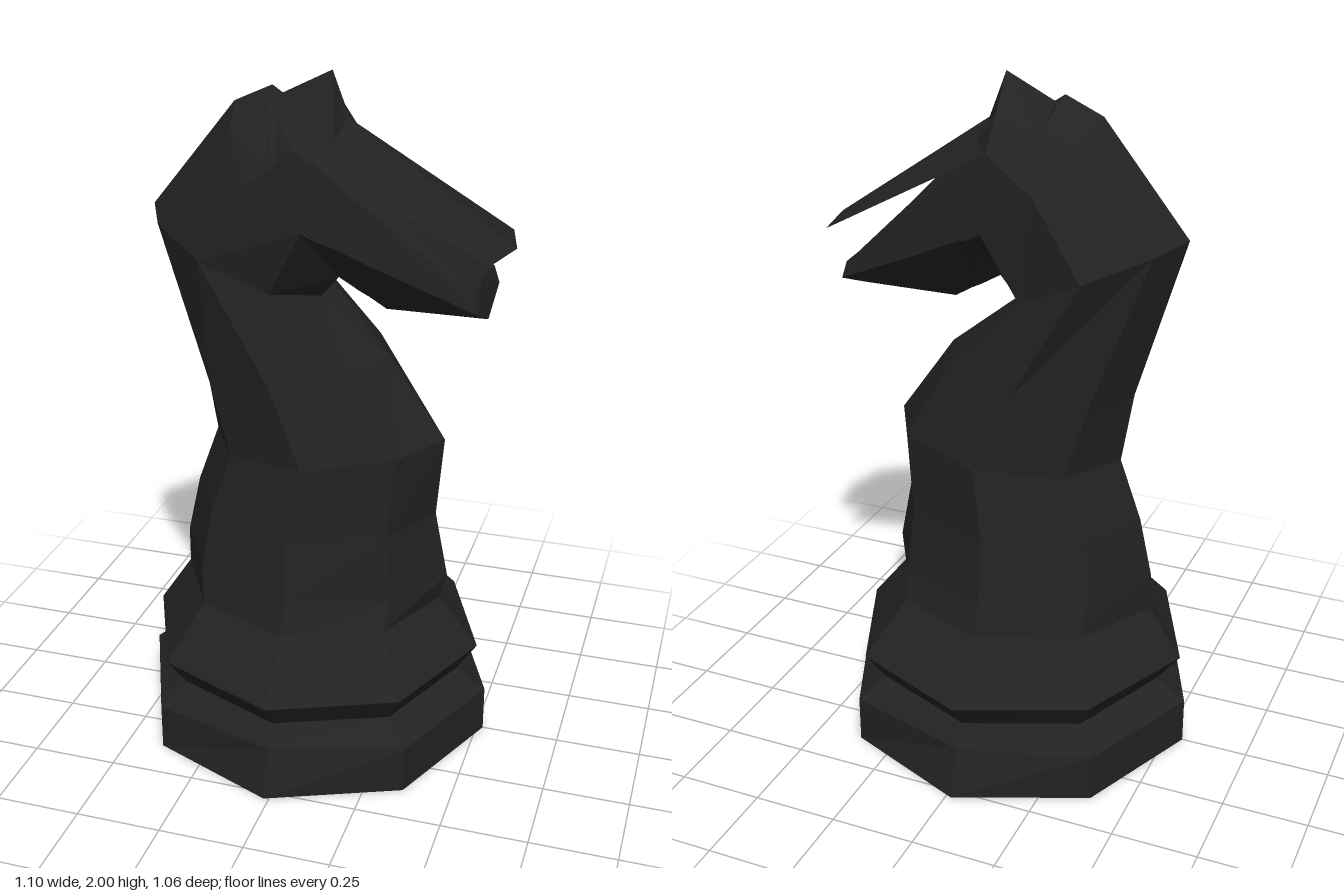
import * as THREE from 'three';

const material = new THREE.MeshStandardMaterial({ color: 0x222222, flatShading: true });
const sheetMaterial = new THREE.MeshStandardMaterial({ color: 0x222222, flatShading: true, side: THREE.DoubleSide });

// Half section (back, back bevel, side, front bevel, front) mirrored in z to an 8-sided ring
const mirrorRing = (half) => [
  ...half,
  ...[3, 2, 1].map((i) => [half[i][0], half[i][1], -half[i][2]]),
];

// Level-ish ring: back x/y, front x/y, middle x, half width, bevel x back/front, bevel z
function levelRing([xb, yb, xf, yf, xm, zw, xbd, xfd, zd]) {
  return mirrorRing([
    [xb, yb, 0], [xbd, yb, zd], [xm, (yb + yf) / 2, zw], [xfd, yf, zd], [xf, yf, 0],
  ]);
}

function facetedMesh(name, points, index, mat = material) {
  const indexed = new THREE.BufferGeometry();
  indexed.setAttribute('position', new THREE.Float32BufferAttribute(points.flat(), 3));
  indexed.setIndex(index);
  const geometry = indexed.toNonIndexed();
  geometry.computeVertexNormals();
  const mesh = new THREE.Mesh(geometry, mat);
  mesh.name = name;
  return mesh;
}

// Skin a stack of rings, with optional caps at either end
function loft(name, rings, capStart, capEnd) {
  const n = 8, index = [];
  for (let r = 0; r < rings.length - 1; r++) {
    for (let i = 0; i < n; i++) {
      const a = r * n + i, b = r * n + (i + 1) % n;
      index.push(a, b, b + n, a, b + n, a + n);
    }
  }
  const last = (rings.length - 1) * n;
  for (let i = 1; i < n - 1; i++) {
    if (capStart) index.push(0, i + 1, i);
    if (capEnd) index.push(last, last + i, last + i + 1);
  }
  return facetedMesh(name, rings.flat(), index);
}

export function createModel() {
  const group = new THREE.Group();
  group.name = 'chessKnight';

  // Octagonal foot with a flared collar
  const base = [
    [-0.55, 0, 0.52, 0, -0.015, 0.53, -0.39, 0.36, 0.375],
    [-0.55, 0.14, 0.52, 0.14, -0.015, 0.485, -0.39, 0.36, 0.375],
    [-0.46, 0.2, 0.43, 0.2, -0.015, 0.44, -0.33, 0.3, 0.31],
    [-0.53, 0.29, 0.49, 0.29, -0.015, 0.51, -0.37, 0.34, 0.36],
    [-0.43, 0.44, 0.37, 0.44, -0.015, 0.355, -0.295, 0.26, 0.24],
  ].map(levelRing);

  // Neck, leaning back towards the top
  const neck = [
    [-0.43, 0.55, 0.39, 0.52, -0.015, 0.325, -0.31, 0.27, 0.205],
    [-0.39, 0.73, 0.35, 0.72, -0.015, 0.295, -0.28, 0.25, 0.19],
    [-0.325, 0.91, 0.37, 0.96, 0.02, 0.275, -0.22, 0.27, 0.18],
    [-0.36, 1.12, 0.2, 1.2, -0.08, 0.245, -0.28, 0.13, 0.17],
  ].map(levelRing);

  // Tilted ring shared by neck and head
  const nape = mirrorRing([
    [-0.5, 1.59, 0], [-0.44, 1.57, 0.125], [-0.28, 1.51, 0.24], [-0.09, 1.42, 0.2], [0, 1.36, 0],
  ]);
  group.add(loft('base', base, true, false));
  group.add(loft('neck', [base[4], ...neck, nape], false, false));

  // Head, from nape over the crest to the blunt muzzle
  const head = [
    [[-0.25, 1.9, 0], [-0.22, 1.85, 0.12], [-0.14, 1.73, 0.235], [0.01, 1.61, 0.23], [0.05, 1.42, 0]],
    [[-0.14, 1.95, 0], [-0.12, 1.88, 0.115], [-0.08, 1.775, 0.233], [0.05, 1.59, 0.225], [0.11, 1.385, 0]],
    [[-0.11, 1.93, 0], [-0.09, 1.88, 0.115], [-0.06, 1.79, 0.232], [0.08, 1.58, 0.22], [0.14, 1.37, 0]],
    [[0.03, 2, 0], [0.01, 1.915, 0.115], [-0.01, 1.83, 0.23], [0.15, 1.55, 0.21], [0.19, 1.34, 0]],
    [[0.08, 1.85, 0], [0.07, 1.83, 0.11], [0.04, 1.8, 0.22], [0.2, 1.525, 0.2], [0.25, 1.34, 0]],
    [[0.46, 1.465, 0], [0.46, 1.46, 0.08], [0.465, 1.45, 0.14], [0.48, 1.4, 0.145], [0.48, 1.34, 0]],
  ].map(mirrorRing);
  group.add(loft('head', [nape, ...head], false, true));

  // Ridged face plate jutting out over the muzzle
  const plate = [
    [0.08, 1.87, 0], [-0.01, 1.83, 0.23], [0.51, 1.55, 0.17],
    [0.55, 1.55, 0], [0.51, 1.55, -0.17], [-0.01, 1.83, -0.23], [0.03, 2, 0],
  ];
  group.add(facetedMesh('facePlate', plate, [
    0, 1, 2, 0, 2, 3, 0, 3, 4, 0, 4, 5, // top
    1, 5, 4, 1, 4, 2, 2, 4, 3, // underside
    6, 1, 0, 6, 0, 5, // brow
  ], sheetMaterial));

  return group;
}
